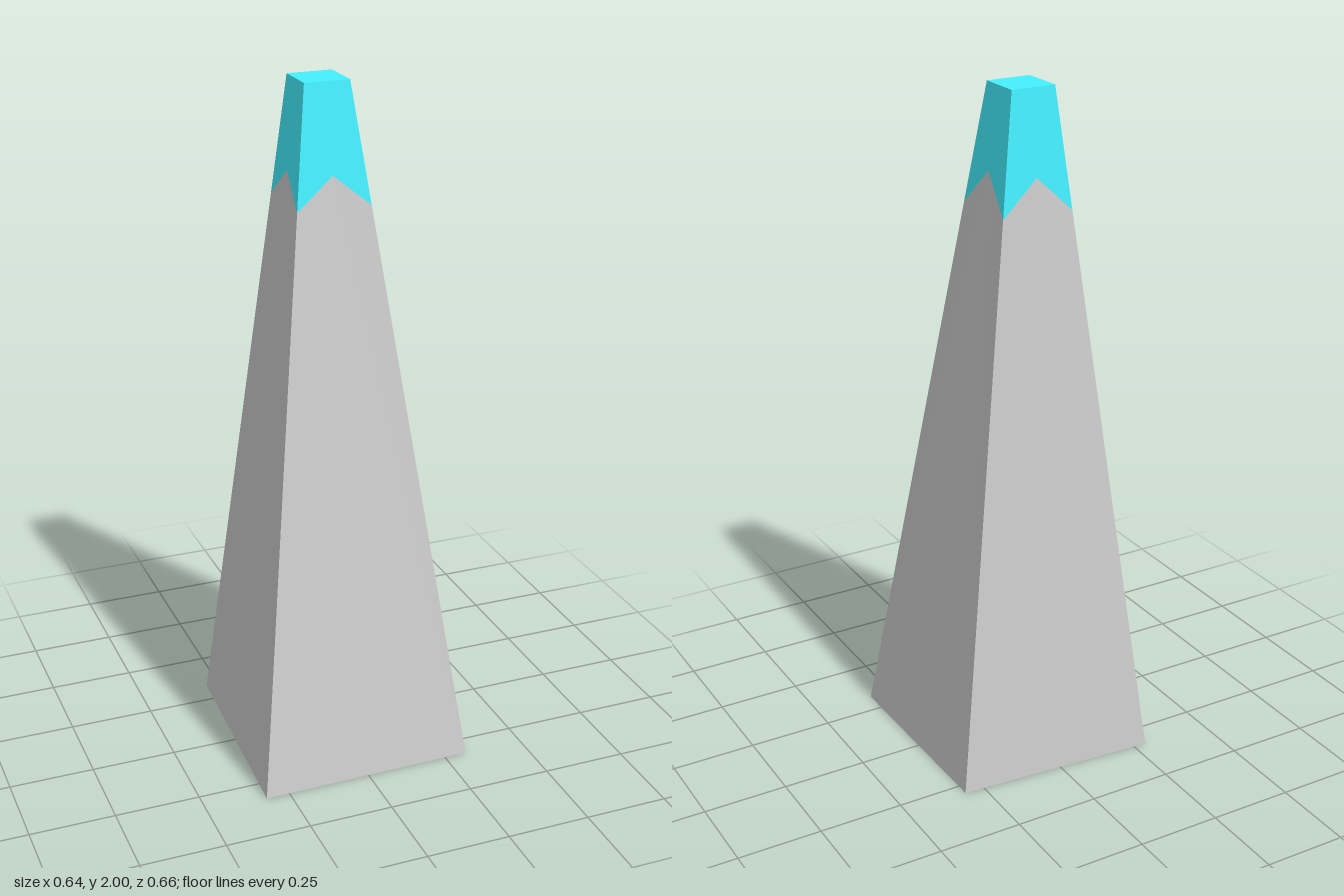
import * as THREE from 'three';

const HEIGHT = 2;
// Corners [x, z], counter-clockwise from above, starting front at -x
const base = [[-0.32, 0.329], [0.318, 0.322], [0.309, -0.29], [-0.289, -0.333]];
const top = [[-0.075, 0.013], [0.058, 0.013], [0.058, -0.12], [-0.075, -0.12]];
const CORNER_Y = 1.66;                    // paint edge at the corners
const PEAK_Y = [1.75, 1.77, 1.76, 1.75];  // paint edge mid-face

// Point on a corner edge at height y
function edgePoint(i, y) {
  const k = i % 4, t = y / HEIGHT;
  return new THREE.Vector3(
    THREE.MathUtils.lerp(base[k][0], top[k][0], t), y,
    THREE.MathUtils.lerp(base[k][1], top[k][1], t));
}

// Flat-shaded mesh from polygons, each fanned from its first point
function polygonMesh(name, polygons, material) {
  const points = [];
  for (const p of polygons)
    for (let i = 1; i < p.length - 1; i++) points.push(p[0], p[i], p[i + 1]);
  const geometry = new THREE.BufferGeometry().setFromPoints(points);
  geometry.computeVertexNormals();
  const mesh = new THREE.Mesh(geometry, material);
  mesh.name = name;
  return mesh;
}

export function createModel() {
  const grey = new THREE.MeshStandardMaterial({ color: 0xcccccc, flatShading: true });
  const cyan = new THREE.MeshStandardMaterial({ color: 0x44f0ff, flatShading: true });
  const shaft = [], tip = [];

  // Each side splits along a peaked line into shaft and painted tip
  for (let i = 0; i < 4; i++) {
    const peak = edgePoint(i, PEAK_Y[i]).lerp(edgePoint(i + 1, PEAK_Y[i]), 0.5);
    const a = edgePoint(i, CORNER_Y), b = edgePoint(i + 1, CORNER_Y);
    shaft.push([peak, a, edgePoint(i, 0), edgePoint(i + 1, 0), b]);
    tip.push([peak, b, edgePoint(i + 1, HEIGHT), edgePoint(i, HEIGHT), a]);
  }

  // Underside and flat top
  shaft.push([3, 2, 1, 0].map(i => edgePoint(i, 0)));
  tip.push([0, 1, 2, 3].map(i => edgePoint(i, HEIGHT)));

  const group = new THREE.Group();
  group.name = 'taperedPillar';
  group.add(polygonMesh('shaft', shaft, grey), polygonMesh('paintedTip', tip, cyan));
  return group;
}
